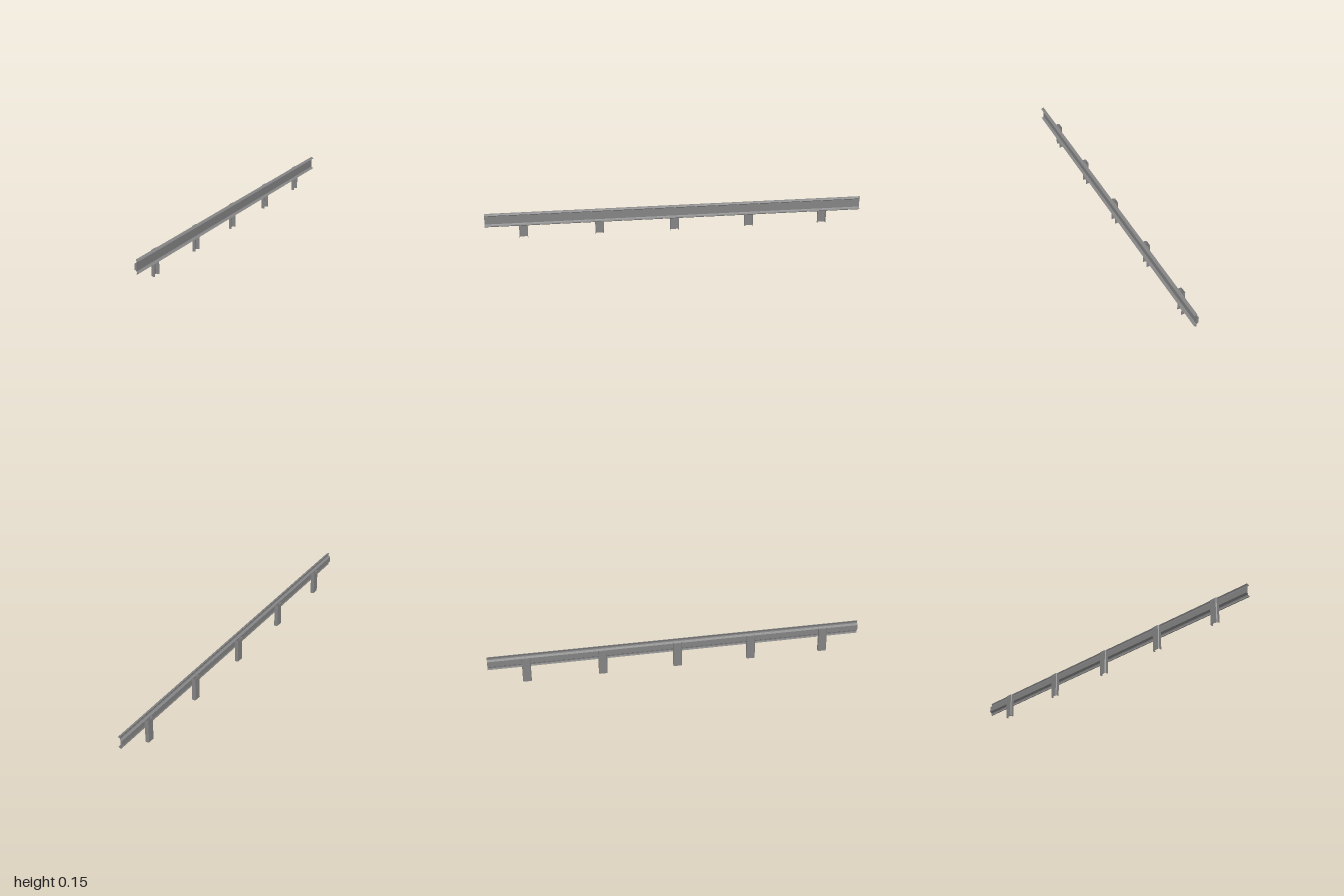
import * as THREE from 'three';

const material = new THREE.MeshStandardMaterial({ color: 0x848484, flatShading: true });

// Straight prism from a closed 2D outline
function prism(points, depth) {
  const shape = new THREE.Shape(points.map((p) => new THREE.Vector2(...p)));
  return new THREE.ExtrudeGeometry(shape, { depth, bevelEnabled: false });
}

function addMesh(parent, name, geo, z) {
  const mesh = new THREE.Mesh(geo, material);
  mesh.name = name;
  mesh.position.z = z;
  parent.add(mesh);
}

export function createModel() {
  const model = new THREE.Group();
  model.name = 'guardrail';

  // Rail: two pointed crowns on a central web, symmetric about its mid height
  const midY = 0.112;
  const mirror = (pts) => pts.map(([x, y]) => [x, 2 * midY - y]).reverse();
  const crown = [
    [0.005, 0.149], [0.012, 0.148], [0.0205, 0.142],
    [0.0125, 0.138], [0.007, 0.134], [0.008, 0.141],
  ];
  const webTop = [[0.007, 0.134], [-0.0035, 0.127]];
  const rail = new THREE.Group();
  rail.name = 'rail';
  model.add(rail);
  addMesh(rail, 'upperCrown', prism(crown, 2), -1);
  addMesh(rail, 'lowerCrown', prism(mirror(crown), 2), -1);
  addMesh(rail, 'web', prism([...webTop, ...mirror(webTop)], 2), -1);

  // Posts: thin channels with bevelled corners, open toward the rail
  const channel = (back, half, bevel) => [
    [-0.004, half], [back + bevel, half], [back, half - bevel],
    [back, bevel - half], [back + bevel, -half], [-0.004, -half],
  ];
  const outline = [...channel(-0.0225, 0.0225, 0.004), ...channel(-0.021, 0.021, 0.0035).reverse()];
  const postGeo = prism(outline, 0.133).rotateX(-Math.PI / 2);
  for (let i = -2; i <= 2; i++) addMesh(model, 'post', postGeo, i * 0.4);

  return model;
}
